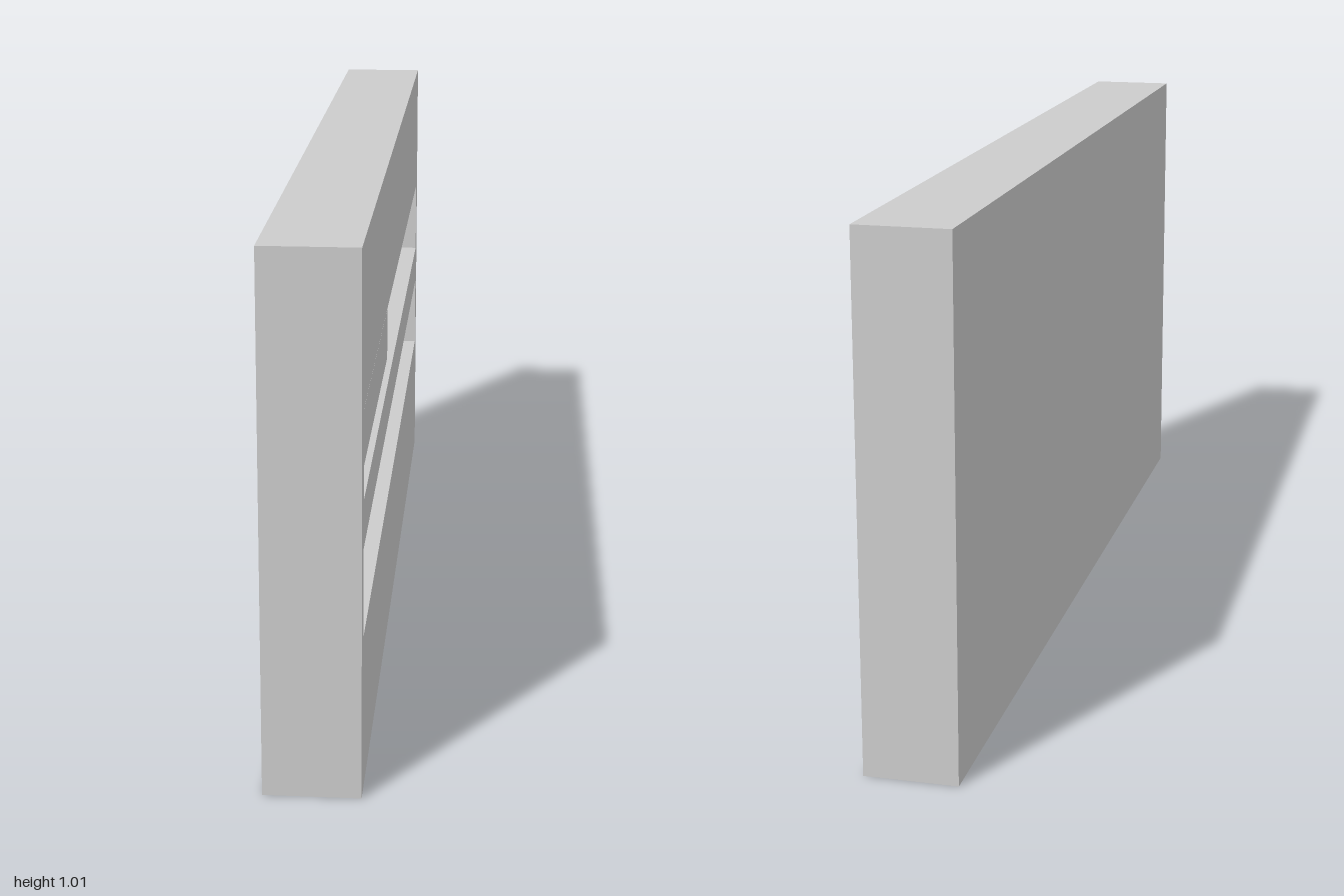
import * as THREE from 'three';

const HEIGHT = 1.015, LENGTH = 2, HALF_WIDTH = 0.09, DEPTH = 0.06;
const SLOT_LENGTH = 1.91, SLOT_HEIGHT = 0.167;
const FLOOR_X = HALF_WIDTH - DEPTH; // plane of the slot floors

// Traces a rectangle centred on x = 0 and starting at height y
function rectangle(path, length, y, height) {
  const h = length / 2;
  path.moveTo(-h, y);
  path.lineTo(h, y);
  path.lineTo(h, y + height);
  path.lineTo(-h, y + height);
  path.closePath();
  return path;
}

export function createModel() {
  const group = new THREE.Group();
  const material = new THREE.MeshStandardMaterial({ color: 0xcccccc, flatShading: true });

  const add = (name, geometry, x = 0, y = 0, z = 0) => {
    const mesh = new THREE.Mesh(geometry, material);
    mesh.name = name;
    mesh.position.set(x, y, z);
    group.add(mesh);
  };

  // Solid rear slab, whose +x side forms the slot floors
  const backWidth = FLOOR_X + HALF_WIDTH;
  add('backSlab', new THREE.BoxGeometry(backWidth, HEIGHT, LENGTH),
    (FLOOR_X - HALF_WIDTH) / 2, HEIGHT / 2, 0);

  // Face plate with two long slots cut through it
  const face = rectangle(new THREE.Shape(), LENGTH, 0, HEIGHT);
  for (const y of [0.297, 0.553]) {
    face.holes.push(rectangle(new THREE.Path(), SLOT_LENGTH, y, SLOT_HEIGHT));
  }
  const plate = new THREE.ExtrudeGeometry(face, { depth: DEPTH, bevelEnabled: false });
  plate.rotateY(Math.PI / 2);
  add('slottedFacePlate', plate, FLOOR_X);

  // Bar resting in the upper slot, just below the face
  const barDepth = 0.053;
  add('slotBar', new THREE.BoxGeometry(barDepth, 0.107, 0.727),
    FLOOR_X + barDepth / 2, 0.634, 0.533);

  return group;
}
